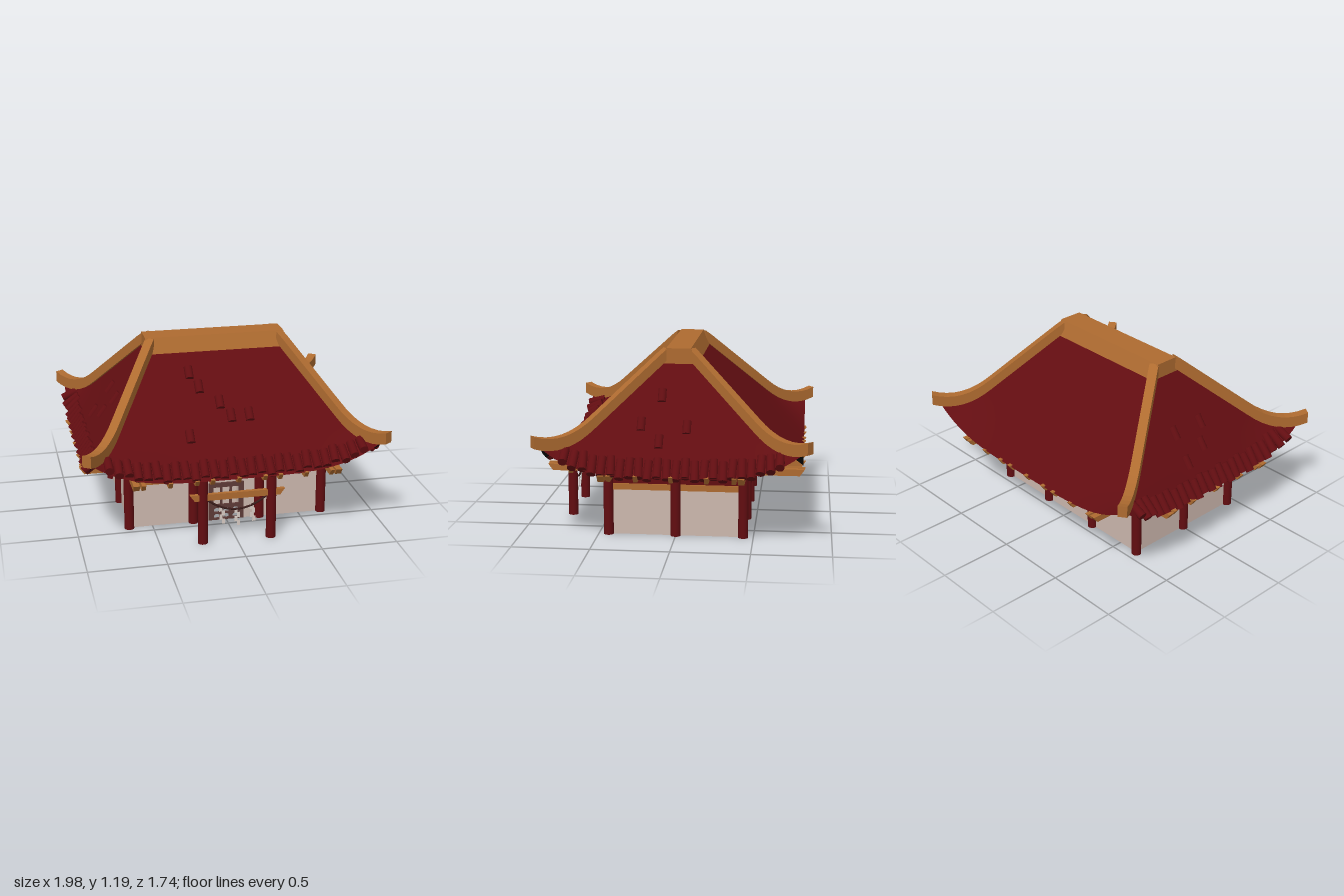
import * as THREE from 'three';

const mat = (name, color, side = THREE.FrontSide) => {
  const m = new THREE.MeshStandardMaterial({ color, side });
  m.name = name;
  return m;
};

// Roof plan: ridge half sizes and spread to the eaves
const RX = 0.45, RZ = 0.1, SX = 0.485, SZ = 0.71;
const lift = (t) => 0.17 * Math.max(0, (t - 0.6) / 0.4) ** 2;
// Roof height: straight slope, swept up towards the corners (t: ridge 0 to eave 1, u: -1 to 1 across)
const roofY = (u, t) => 1.11 - 0.66 * t + lift(t) * Math.abs(u) ** 4;

export function createModel() {
  const model = new THREE.Group();
  const red = mat('dark red', 0x620d11);
  const wood = mat('orange wood', 0xae6b30);
  const plaster = mat('plaster', 0xcdb8ae);
  const black = mat('black underside', 0x060606);
  const brown = mat('brown lattice', 0x5e3b37);
  const ropeMat = mat('dark rope', 0x3a1c1a);
  const paper = mat('paper', 0xd9ccc4, THREE.DoubleSide);

  const add = (name, geo, material, x = 0, y = 0, z = 0, parent = model) => {
    const m = new THREE.Mesh(geo, material);
    m.name = name;
    m.position.set(x, y, z);
    parent.add(m);
    return m;
  };
  const box = (name, w, h, d, material, x, y, z, parent) =>
    add(name, new THREE.BoxGeometry(w, h, d), material, x, y, z, parent);

  // Plaster body with an alcove at the front
  const plan = new THREE.Shape([
    [-0.65, -0.43], [-0.12, -0.43], [-0.12, -0.23], [0.12, -0.23],
    [0.12, -0.43], [0.65, -0.43], [0.65, 0.43], [-0.65, 0.43],
  ].map(([x, y]) => new THREE.Vector2(x, y)));
  add('wall', new THREE.ExtrudeGeometry(plan, { depth: 0.27, bevelEnabled: false }).rotateX(-Math.PI / 2), plaster);
  box('wallTop', 1.3, 0.03, 0.86, plaster, 0, 0.285, 0);
  box('wallBeam', 1.32, 0.04, 0.88, wood, 0, 0.318, 0);
  box('redBand', 1.3, 0.09, 0.86, red, 0, 0.38, 0);

  // Posts
  const post = new THREE.CylinderGeometry(0.032, 0.032, 0.47, 20);
  for (const sx of [-1, 1]) {
    for (const z of [-0.435, 0, 0.435]) add('post', post, red, sx * 0.655, 0.235, z);
    for (const z of [-0.435, 0.435, 0.75]) add('post', post, red, sx * 0.225, 0.235, z);
  }

  // Beams with slanted ends, running along x or along z
  const beam = (name, half, w, x, y, z, alongZ) => {
    const s = new THREE.Shape();
    s.moveTo(-half + 0.03, -0.021);
    s.lineTo(half - 0.03, -0.021);
    s.lineTo(half, 0.021);
    s.lineTo(-half, 0.021);
    const g = new THREE.ExtrudeGeometry(s, { depth: w, bevelEnabled: false }).translate(0, 0, -w / 2);
    if (alongZ) g.rotateY(Math.PI / 2);
    add(name, g, wood, x, y, z);
  };
  for (const s of [-1, 1]) {
    beam('eaveBeam', 0.97, 0.04, 0, 0.44, s * 0.435, false);
    beam('eaveBeam', 0.82, 0.04, s * 0.655, 0.44, 0, true);
  }
  for (const x of [-0.61, -0.44, -0.27, -0.17, 0, 0.17, 0.27, 0.44, 0.61]) beam('rafter', 0.825, 0.026, x, 0.441, 0, true);
  for (const z of [-0.39, -0.22, 0, 0.22, 0.39]) beam('rafter', 0.965, 0.026, 0, 0.441, z, false);
  beam('porchBeam', 0.31, 0.026, 0, 0.32, 0.755, false);

  // Roof slopes, each with a black underside, and their tiles
  const tile = (side, u, t, length, parent, turn = 0) => {
    const { r, s, R, S } = side;
    const at = (k) => new THREE.Vector3(u * (R + S * t), roofY(u, k), r + s * k);
    const dir = at(t - 0.03).sub(at(t + 0.03)).normalize();
    const normal = new THREE.Vector3(0, dir.z, dir.y).normalize();
    if (normal.y < 0) normal.negate();
    const m = add('tile', new THREE.CylinderGeometry(0.028, 0.028, length, 12), red, 0, 0, 0, parent);
    m.position.copy(at(t)).addScaledVector(normal, 0.018);
    m.quaternion.setFromUnitVectors(new THREE.Vector3(0, 1, 0), dir);
    m.rotateZ(turn);
  };
  const frontPlan = { r: RZ, s: SZ, R: RX, S: SX }, sidePlan = { r: RX, s: SX, R: RZ, S: SZ };
  // Loose tiles as [distance across, distance out]
  const slopes = [
    { name: 'frontSlope', side: frontPlan, angle: 0, count: 28, reach: 0.82, row: 0.765, length: 0.12,
      loose: [[-0.21, 0.25], [-0.16, 0.33], [-0.04, 0.42], [0.02, 0.495], [0.14, 0.495], [-0.27, 0.59]] },
    { name: 'rightSlope', side: sidePlan, angle: Math.PI / 2, count: 24, reach: 0.67, row: 0.91, length: 0.13,
      loose: [[0.08, 0.74], [-0.09, 0.61], [-0.09, 0.8], [-0.21, 0.73]] },
    { name: 'backSlope', side: frontPlan, angle: Math.PI, count: 0, loose: [] },
    { name: 'leftSlope', side: sidePlan, angle: -Math.PI / 2, count: 24, reach: 0.68, row: 0.91, length: 0.13,
      loose: [[-0.13, 0.81], [-0.13, 0.69], [0.04, 0.77], [0.1, 0.69]] },
  ];
  for (const { name, side, angle, count, reach, row, length, loose } of slopes) {
    const { r, s, R, S } = side;
    const group = new THREE.Group();
    group.name = name;
    group.rotation.y = angle;
    model.add(group);
    const g = new THREE.PlaneGeometry(2, 1, 28, 15), p = g.attributes.position;
    for (let i = 0; i < p.count; i++) {
      const u = p.getX(i), t = 0.5 - p.getY(i);
      p.setXYZ(i, u * (R + S * t), roofY(u, t), r + s * t);
    }
    g.computeVertexNormals();
    add('roofSurface', g, red, 0, 0, 0, group);
    const under = g.clone();
    under.setIndex(Array.from(g.index.array).reverse());
    under.computeVertexNormals();
    add('roofUnderside', under, black, 0, -0.006, 0, group);
    for (let i = 0; i < count; i++) {
      const t = (row - r) / s + 0.012 * Math.sin(i * 2.3);
      const across = -reach + (2 * reach * i) / (count - 1);
      tile(side, across / (R + S * t), t, length, group, 0.05 * Math.sin(i * 4.1));
    }
    for (const [across, out] of loose) {
      const t = (out - r) / s;
      tile(side, across / (R + S * t), t, 0.09, group);
    }
  }

  // Ridge cap with sloping sides
  const cap = new THREE.Shape();
  cap.moveTo(-0.125, 1.09);
  cap.lineTo(0.125, 1.09);
  cap.lineTo(0.08, 1.19);
  cap.lineTo(-0.08, 1.19);
  add('ridgeCap', new THREE.ExtrudeGeometry(cap, { depth: 0.94, bevelEnabled: false })
    .translate(0, 0, -0.47).rotateY(Math.PI / 2), wood);

  // Hip ridges sweeping out to the corners
  const run = Math.hypot(SX, SZ), low = [], high = [];
  for (let i = 0; i <= 18; i++) {
    const t = -0.02 + (1.08 * i) / 18, y = roofY(1, t);
    low.push(new THREE.Vector2(t * run, y - 0.008));
    high.unshift(new THREE.Vector2(t * run, Math.min(1.188, y + 0.068)));
  }
  const hip = new THREE.ExtrudeGeometry(new THREE.Shape([...low, ...high]), { depth: 0.06, bevelEnabled: false })
    .translate(0, 0, -0.03);
  for (const sx of [-1, 1]) for (const sz of [-1, 1])
    add('hipRidge', hip, wood, sx * RX, 0, sz * RZ).rotation.y = -Math.atan2(sz * SZ, sx * SX);

  // Lattice door across the alcove
  const rect = (C, x0, y0, x1, y1) => new C([[x0, y0], [x1, y0], [x1, y1], [x0, y1]].map((q) => new THREE.Vector2(...q)));
  const door = rect(THREE.Shape, -0.12, 0, 0.12, 0.265);
  for (const x of [-0.064, 0, 0.064]) {
    door.holes.push(rect(THREE.Path, x - 0.024, 0.11, x + 0.024, 0.235));
    for (const y of [0.012, 0.055]) {
      const arch = new THREE.Path();
      arch.moveTo(x - 0.02, y);
      arch.lineTo(x + 0.02, y);
      arch.absarc(x, y + 0.012, 0.02, 0, Math.PI, false);
      door.holes.push(arch);
    }
  }
  add('latticeDoor', new THREE.ExtrudeGeometry(door, { depth: 0.015, bevelEnabled: false, curveSegments: 8 }),
    brown, 0, 0, 0.42);

  // Sagging rope with folded paper streamers
  const sag = new THREE.QuadraticBezierCurve3(
    new THREE.Vector3(-0.2, 0.3, 0.75), new THREE.Vector3(0, 0.135, 0.75), new THREE.Vector3(0.2, 0.3, 0.75));
  add('rope', new THREE.TubeGeometry(sag, 24, 0.007, 8), ropeMat);
  for (const x of [-0.1, 0, 0.1]) {
    const top = 0.22 + 2 * x * x;
    for (let i = 0; i < 4; i++)
      box('streamer', 0.02, 0.034, 0.004, paper, x + (i % 2 ? 0.008 : -0.008), top - 0.015 - i * 0.027, 0.75 + i * 0.003);
  }
  return model;
}
